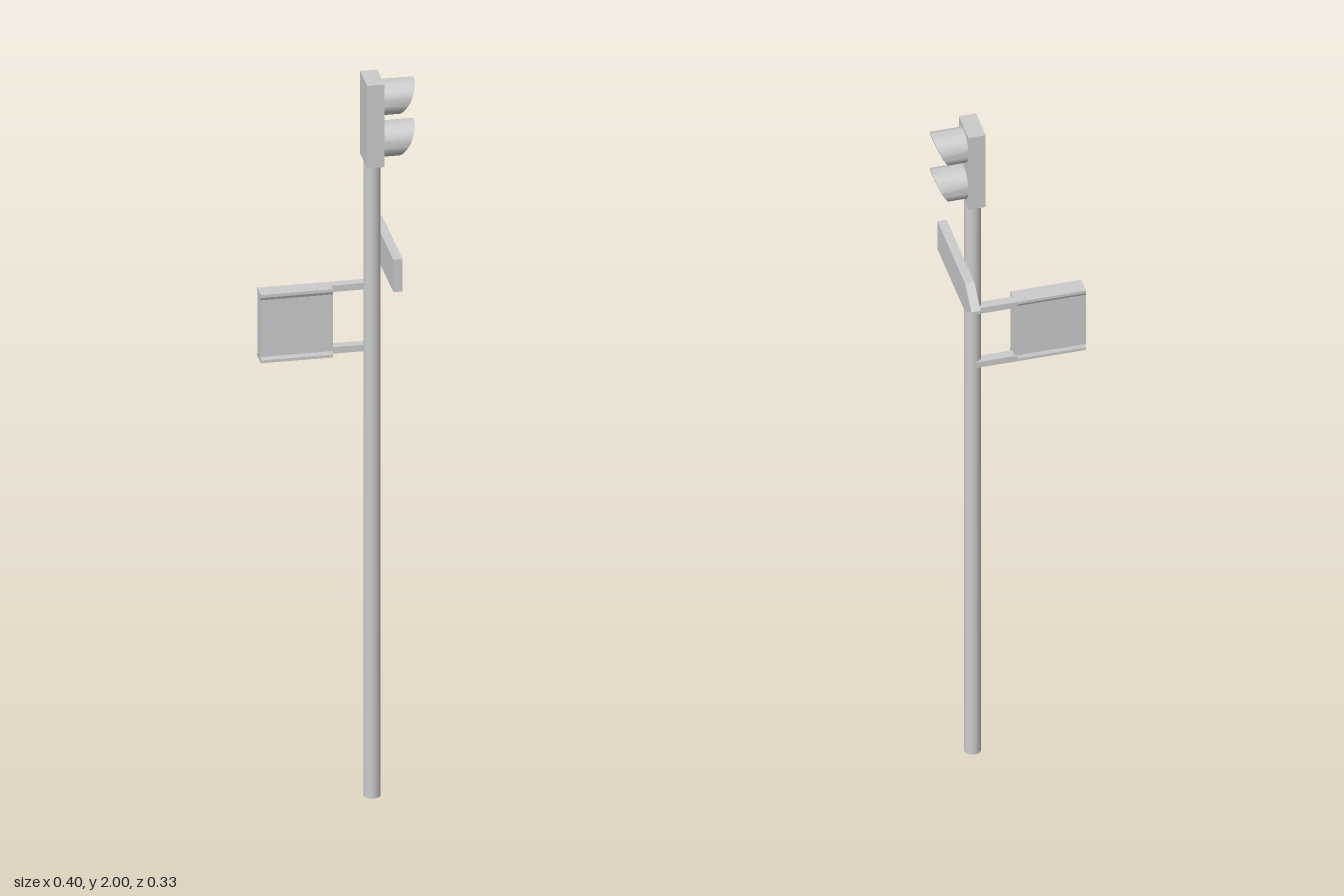
import * as THREE from 'three';
import { toCreasedNormals } from 'three/addons/utils/BufferGeometryUtils.js';

const material = new THREE.MeshStandardMaterial({ color: 0xcccccc });
const Z = -0.013; // pole axis
const POLE_X = 0.092;

function add(group, name, geometry, x = 0, y = 0, z = 0) {
  const mesh = new THREE.Mesh(geometry, material);
  mesh.name = name;
  mesh.position.set(x, y, z);
  group.add(mesh);
  return mesh;
}

// Box given by its lower and upper corners
function addBox(group, name, [x0, y0, z0], [x1, y1, z1]) {
  add(group, name, new THREE.BoxGeometry(x1 - x0, y1 - y0, z1 - z0),
    (x0 + x1) / 2, (y0 + y1) / 2, (z0 + z1) / 2);
}

// Extrude a (z, y) outline along x, from x0 to x1
function extrudeAlongX(points, x0, x1) {
  const shape = new THREE.Shape(points.map(([z, y]) => new THREE.Vector2(-z, y)));
  const geometry = new THREE.ExtrudeGeometry(shape, { depth: x1 - x0, bevelEnabled: false });
  return geometry.rotateY(Math.PI / 2).translate(x0, 0, 0);
}

// Hooded tube, long at the top and cut back underneath
function visorGeometry() {
  const outer = 0.046, inner = 0.04;
  const profile = [[outer, 0], [outer, 1], [inner, 1], [inner, 0]]
    .map(([r, y]) => new THREE.Vector2(r, y));
  const geometry = new THREE.LatheGeometry(profile, 40).rotateZ(-Math.PI / 2);
  const p = geometry.attributes.position;
  for (let i = 0; i < p.count; i++) {
    if (p.getX(i) < 0.5) continue;
    const c = p.getY(i) / Math.hypot(p.getY(i), p.getZ(i));
    p.setX(i, 0.069 + c * (c > 0 ? 0.017 : 0.026));
  }
  return toCreasedNormals(geometry, 0.6);
}

export function createModel() {
  const model = new THREE.Group();
  model.name = 'signalPost';

  add(model, 'pole', new THREE.CylinderGeometry(0.022, 0.022, 1.78, 24), POLE_X, 0.89, Z);

  // Signal head with two hooded lamps
  const head = new THREE.Group();
  head.name = 'signalHead';
  model.add(head);
  addBox(head, 'housing', [0.07, 1.77, -0.06], [0.115, 2, 0.034]);
  for (const [name, y] of [['upper', 1.944], ['lower', 1.828]]) {
    add(head, name + 'Visor', visorGeometry(), 0.114, y, Z);
    const lens = new THREE.SphereGeometry(0.037, 24, 8, 0, Math.PI * 2, 0, Math.PI / 2)
      .rotateZ(-Math.PI / 2).scale(0.5, 1, 1);
    add(head, name + 'Lens', lens, 0.115, y, Z);
  }

  // Direction sign pointing to the back
  add(model, 'arrowSign', extrudeAlongX(
    [[0.164, 1.48], [0.164, 1.57], [-0.105, 1.57], [-0.166, 1.525], [-0.105, 1.48]],
    0.112, 0.136));

  // Panel with rims along its top and bottom, carried by two arms
  const back = -0.037, front = 0.01, low = 1.24, high = 1.43, dip = 0.004;
  add(model, 'signPanel', extrudeAlongX([
    [back, low], [front, low], [front, low + 0.008], [front - dip, low + 0.016],
    [front - dip, high - 0.016], [front, high - 0.008], [front, high],
    [back, high], [back, high - 0.008], [back + dip, high - 0.016],
    [back + dip, low + 0.016], [back, low + 0.008],
  ], -0.2, -0.013));
  addBox(model, 'upperArm', [-0.02, high - 0.018, back], [POLE_X, high, -0.012]);
  addBox(model, 'lowerArm', [-0.02, low, back], [POLE_X, low + 0.018, -0.012]);

  return model;
}
